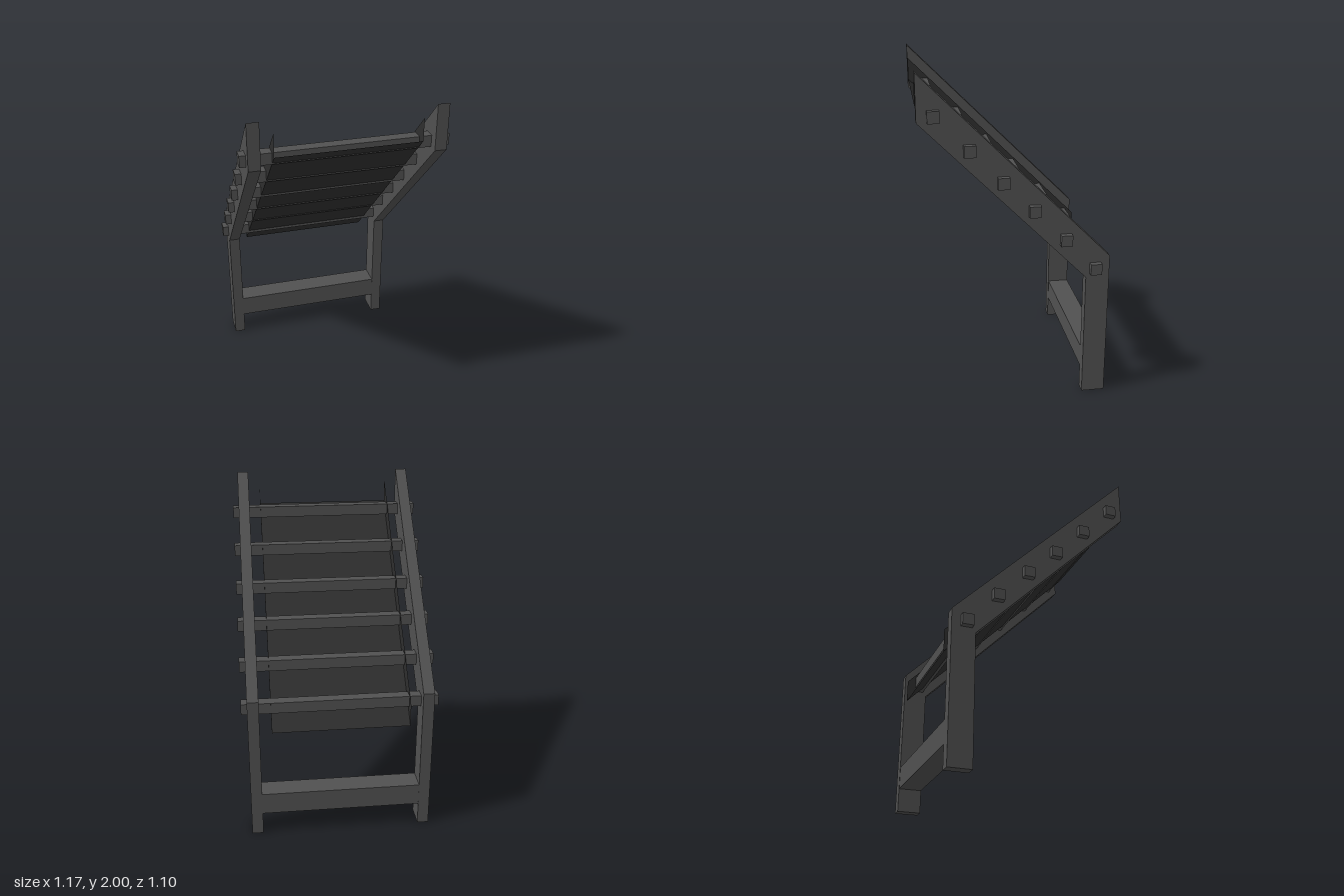
import * as THREE from 'three';

export function createModel() {
  const group = new THREE.Group();
  const frameMat = new THREE.MeshStandardMaterial({ color: 0x505050 });
  frameMat.name = 'frameGrey';
  const trayMat = new THREE.MeshStandardMaterial({ color: 0x2e2e2e, side: THREE.DoubleSide });
  trayMat.name = 'trayDarkGrey';

  const add = (name, geometry, material, x = 0, y = 0, z = 0) => {
    const mesh = new THREE.Mesh(geometry, material);
    mesh.name = name;
    mesh.position.set(x, y, z);
    group.add(mesh);
    return mesh;
  };

  // Extrude a (z, y) outline along x, centred on x = 0
  const extrudeSide = (points, width) => {
    const shape = new THREE.Shape(points.map(([z, y]) => new THREE.Vector2(-z, y)));
    return new THREE.ExtrudeGeometry(shape, { depth: width, bevelEnabled: false })
      .translate(0, 0, -width / 2)
      .rotateY(Math.PI / 2);
  };

  // Side frames: upright leg and sloping rail in one piece
  const railGeo = extrudeSide([
    [-0.55, 0], [-0.41, 0], [-0.41, 0.77], [0.55, 1.73], [0.55, 2], [-0.55, 0.9],
  ], 0.068);

  // Tray side walls: thin sheets parallel to the slope
  const wallGeo = new THREE.ShapeGeometry(new THREE.Shape([
    [0.55, 0.695], [0.55, 0.83], [-0.55, 1.93], [-0.55, 1.795],
  ].map(([x, y]) => new THREE.Vector2(x, y)))).rotateY(Math.PI / 2);

  for (const [side, s] of [['left', 1], ['right', -1]]) {
    add(side + 'SideFrame', railGeo, frameMat, s * 0.515);
    add(side + 'TrayWall', wallGeo, trayMat, s * 0.41);
  }

  // Tray floor at 45 degrees
  const floorGeo = new THREE.PlaneGeometry(0.82, 1.1 * Math.SQRT2).rotateX(Math.PI / 4);
  add('trayFloor', floorGeo, trayMat, 0, 1.245, 0);

  // Rungs running through both side frames
  const rungGeo = new THREE.BoxGeometry(1.17, 0.067, 0.067);
  const rungs = [[0.83, -0.464], [1.02, -0.284], [1.205, -0.098], [1.38, 0.081], [1.57, 0.267], [1.765, 0.46]];
  rungs.forEach(([y, z], i) => add('rung' + (i + 1), rungGeo, frameMat, 0, y, z));

  // Crossbar between the legs
  add('legCrossbar', new THREE.BoxGeometry(0.97, 0.135, 0.137), frameMat, 0, 0.208, -0.48);

  return group;
}
